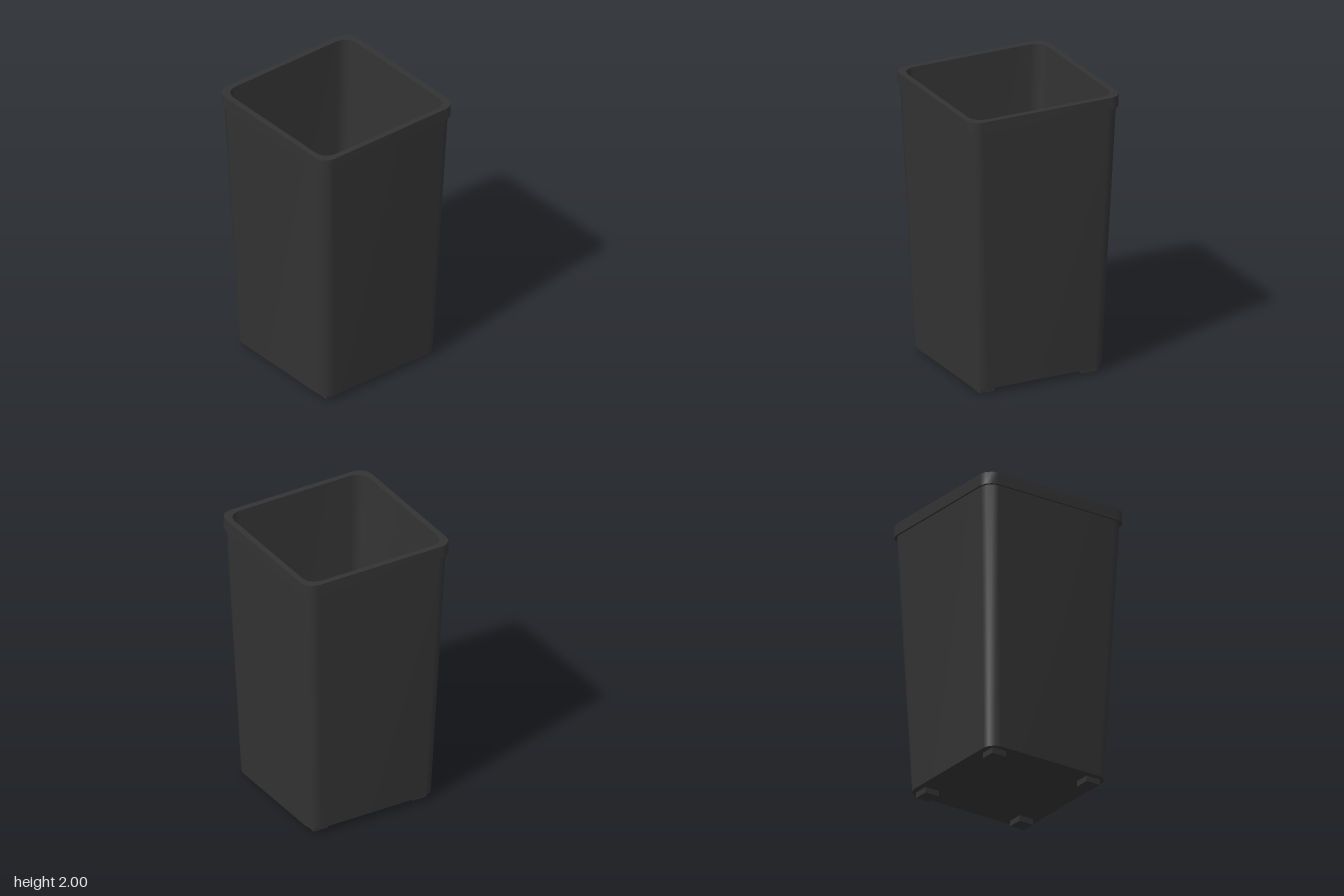
import * as THREE from 'three';

const CORNER_STEPS = 3;

// Rounded-square outline with half-width h and corner radius r, at height y
function ring([h, r, y]) {
  const points = [];
  for (let corner = 0; corner < 4; corner++) {
    const mid = (corner + 0.5) * Math.PI / 2;
    const cx = Math.sign(Math.cos(mid)) * (h - r);
    const cz = Math.sign(Math.sin(mid)) * (h - r);
    for (let s = 0; s <= CORNER_STEPS; s++) {
      const a = (corner + s / CORNER_STEPS) * Math.PI / 2;
      points.push([cx + r * Math.cos(a), y, cz + r * Math.sin(a)]);
    }
  }
  return points;
}

// Joins successive outlines; each band keeps its own vertices so its edges stay sharp
function loft(profile) {
  const positions = [], indices = [];
  for (let k = 0; k < profile.length - 1; k++) {
    const lower = ring(profile[k]), upper = ring(profile[k + 1]);
    const n = lower.length, base = positions.length / 3;
    positions.push(...lower.flat(), ...upper.flat());
    for (let i = 0; i < n; i++) {
      const a = base + i, b = base + (i + 1) % n;
      indices.push(a, a + n, b, b, a + n, b + n);
    }
  }
  const geometry = new THREE.BufferGeometry();
  geometry.setAttribute('position', new THREE.Float32BufferAttribute(positions, 3));
  geometry.setIndex(indices);
  geometry.computeVertexNormals();
  return geometry;
}

export function createModel() {
  const bin = new THREE.Group();
  bin.name = 'bin';
  const plastic = new THREE.MeshStandardMaterial({ color: 0x333333 });
  plastic.name = 'charcoal plastic';

  const add = (name, geometry) => {
    const mesh = new THREE.Mesh(geometry, plastic);
    mesh.name = name;
    bin.add(mesh);
    return mesh;
  };

  // Tapered outer shell with its underside
  add('outerShell', loft([[0, 0, 0.04], [0.483, 0.085, 0.04], [0.556, 0.085, 1.915]]));

  // Overhanging rim band
  add('rim', loft([[0.556, 0.085, 1.915], [0.57, 0.088, 1.915], [0.57, 0.088, 2], [0.528, 0.09, 2]]));

  // Tapered inner wall and floor
  add('innerShell', loft([[0.528, 0.09, 2], [0.453, 0.09, 0.07], [0, 0, 0.07]]));

  // Four square feet
  for (const x of [-1, 1]) {
    for (const z of [-1, 1]) {
      add('foot', new THREE.BoxGeometry(0.11, 0.04, 0.11)).position.set(x * 0.385, 0.02, z * 0.385);
    }
  }
  return bin;
}
